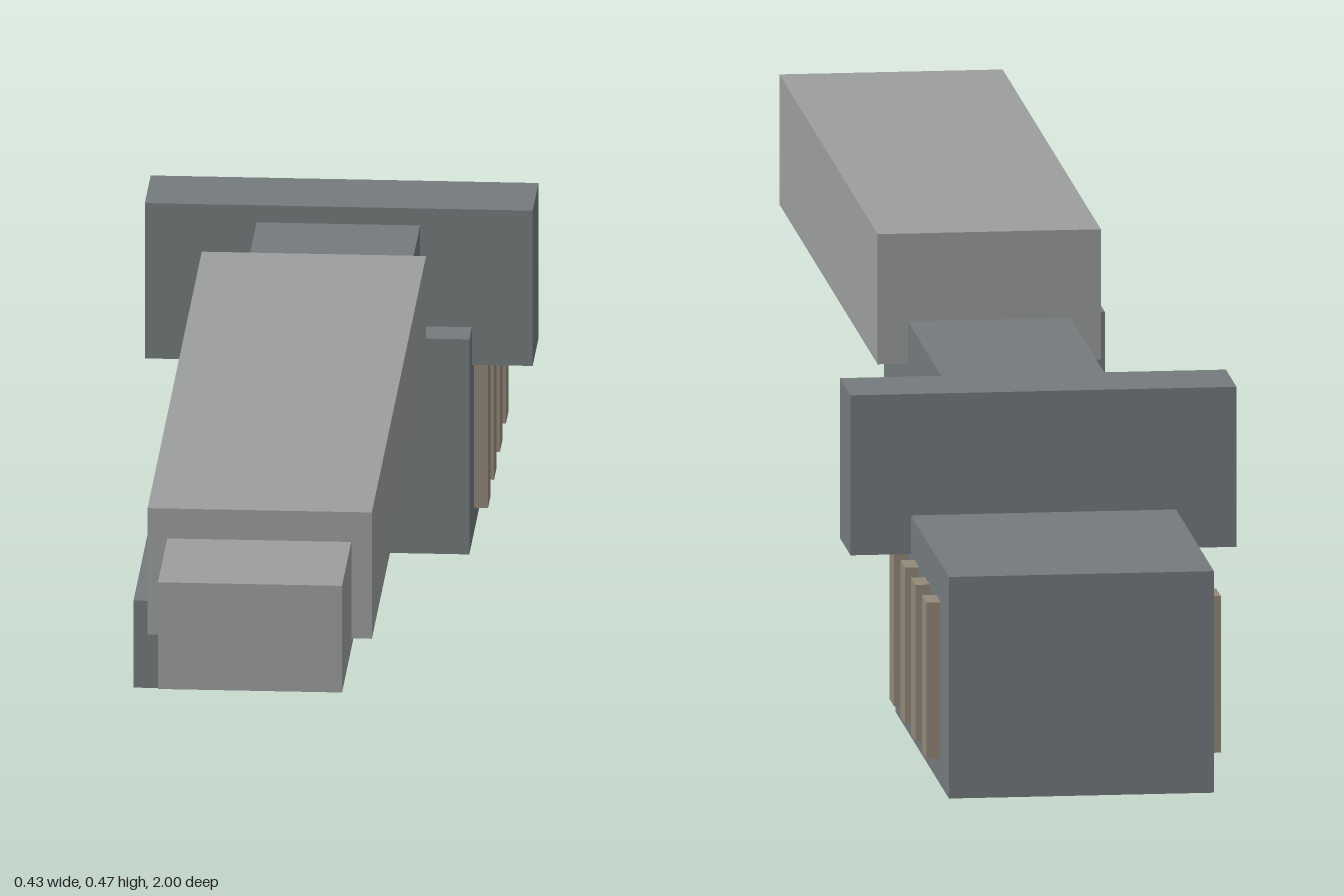
import * as THREE from 'three';

export function createModel() {
  const group = new THREE.Group();
  group.name = 'blockySword';

  const material = (name, color) => {
    const m = new THREE.MeshStandardMaterial({ color });
    m.name = name;
    return m;
  };
  const darkSteel = material('darkSteel', 0x757b7d);
  const paleSteel = material('paleSteel', 0x9c9f9e);
  const tan = material('tan', 0x94897a);

  // Box given by its extents along each axis
  const block = (name, mat, [x0, x1], [y0, y1], [z0, z1]) => {
    const mesh = new THREE.Mesh(new THREE.BoxGeometry(x1 - x0, y1 - y0, z1 - z0), mat);
    mesh.position.set((x0 + x1) / 2, (y0 + y1) / 2, (z0 + z1) / 2);
    mesh.name = name;
    group.add(mesh);
  };

  // Rear grip block and the crosspiece over its front end
  block('grip', darkSteel, [-0.149, 0.149], [0, 0.252], [-1, -0.488]);
  block('crosspiece', darkSteel, [-0.217, 0.217], [0.208, 0.39], [-0.635, -0.533]);

  // Neck running forward under the main bar
  block('neck', darkSteel, [-0.092, 0.091], [0.219, 0.37], [-0.56, 0.12]);

  // Thin rail along the right underside of the main bar
  block('sideRail', darkSteel, [-0.143, -0.103], [0.253, 0.355], [0, 0.818]);

  // Main bar and its narrower tip
  block('mainBar', paleSteel, [-0.126, 0.125], [0.322, 0.47], [-0.108, 0.838]);
  block('tip', paleSteel, [-0.104, 0.102], [0.31, 0.435], [0.81, 1]);

  // Four upright ribs on each side of the grip
  for (const z of [-0.588, -0.692, -0.794, -0.899]) {
    block('ribLeft', tan, [0.14, 0.165], [0.03, 0.208], [z - 0.022, z + 0.022]);
    block('ribRight', tan, [-0.166, -0.14], [0.03, 0.208], [z - 0.022, z + 0.022]);
  }

  return group;
}
